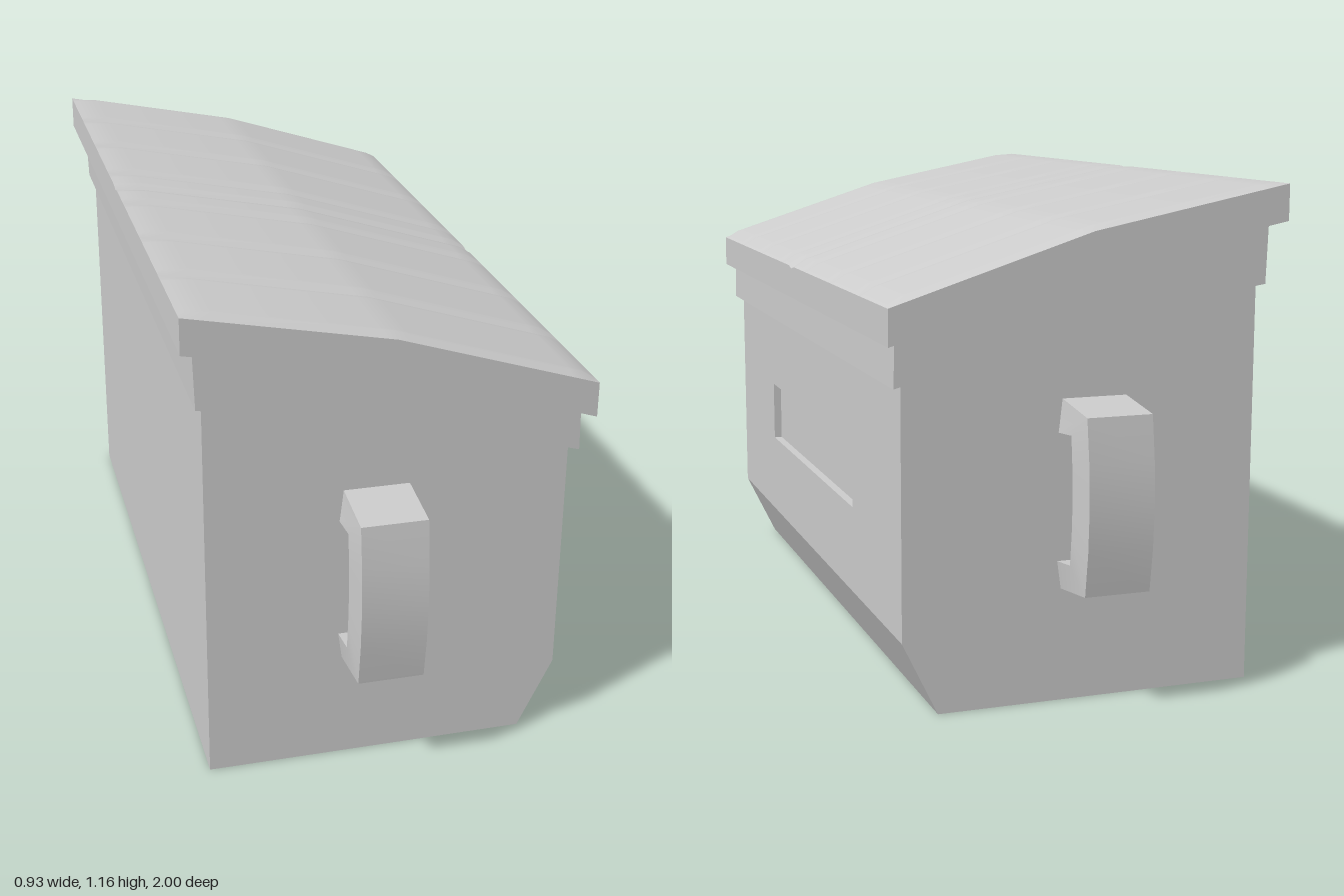
import * as THREE from 'three';
import { toCreasedNormals } from 'three/addons/utils/BufferGeometryUtils.js';

const material = new THREE.MeshStandardMaterial({ color: 0xcccccc });
const sheetMaterial = new THREE.MeshStandardMaterial({ color: 0xcccccc, side: THREE.DoubleSide });
const bodyHalf = 0.84;
const lidHalf = 0.892;

function makeMesh(name, geometry, mat = material) {
  const mesh = new THREE.Mesh(geometry, mat);
  mesh.name = name;
  return mesh;
}

function makeShape(points) {
  return new THREE.Shape(points.map(([x, y]) => new THREE.Vector2(x, y)));
}

// Side profile in x/y, extruded evenly to both sides of z = 0
function prism(points, halfLength) {
  const geometry = new THREE.ExtrudeGeometry(makeShape(points), { depth: halfLength * 2, bevelEnabled: false });
  return geometry.translate(0, 0, -halfLength);
}

// Thin-walled body, open underneath
function createBody() {
  const body = new THREE.Group();
  body.name = 'body';
  const add = (name, geometry) => body.add(makeMesh(name, geometry, sheetMaterial));

  // End walls
  const end = makeShape([[-0.415, 0], [0.34, 0], [0.422, 0.17], [0.422, 0.76], [0, 0.875], [-0.415, 0.935]]);
  add('frontWall', new THREE.ShapeGeometry(end).translate(0, 0, bodyHalf));
  add('backWall', new THREE.ShapeGeometry(end).translate(0, 0, -bodyHalf));

  // Tall plain wall and the sloping lower panel
  add('tallWall', new THREE.PlaneGeometry(bodyHalf * 2, 0.935).rotateY(-Math.PI / 2).translate(-0.415, 0.4675, 0));
  const lower = new THREE.PlaneGeometry(bodyHalf * 2, Math.hypot(0.082, 0.17)).rotateY(Math.PI / 2);
  add('slopedPanel', lower.rotateZ(-Math.atan2(0.082, 0.17)).translate(0.381, 0.085, 0));

  // Short wall with its slot
  const wall = makeShape([[-bodyHalf, 0.17], [bodyHalf, 0.17], [bodyHalf, 0.76], [-bodyHalf, 0.76]]);
  wall.holes.push(makeShape([[-0.43, 0.38], [-0.43, 0.535], [0.43, 0.535], [0.43, 0.38]]));
  add('slottedWall', new THREE.ShapeGeometry(wall).rotateY(Math.PI / 2).translate(0.422, 0, 0));

  // Shallow tray behind the slot: a box without its outer face
  const tray = new THREE.BoxGeometry(0.02, 0.155, 0.86).translate(0.412, 0.4575, 0);
  tray.setIndex(Array.from(tray.index.array).slice(6));
  tray.clearGroups();
  add('slotRecess', tray);
  return body;
}

// Bent sloping roof line of the lid
function roofY(x) {
  return x < 0 ? 1.063 - x * 0.2 : 1.063 - x * 0.32;
}

// Lid skin: raised panels parted by shallow valleys, with a short skirt round the rim
function lidSkin() {
  const valleys = [-0.64, -0.385, -0.125, 0, 0.125, 0.385, 0.637];
  const xs = [-0.465, -0.465, -0.445, -0.4, -0.03, 0, 0.03, 0.4, 0.43, 0.463, 0.463];
  const zs = [-lidHalf, -lidHalf, -lidHalf + 0.025, -lidHalf + 0.035];
  for (const v of valleys) zs.push(v - 0.037, v - 0.027, v, v + 0.027, v + 0.037);
  zs.push(lidHalf - 0.035, lidHalf - 0.025, lidHalf, lidHalf);

  const positions = [];
  const indices = [];
  zs.forEach((z, j) => xs.forEach((x, i) => {
    const skirt = i === 0 || j === 0 || i === xs.length - 1 || j === zs.length - 1;
    const edge = i === 1 || j === 1 || i === xs.length - 2 || j === zs.length - 2;
    let lift = edge || valleys.includes(z) ? 0 : 0.01;
    if (i === 2) lift *= 0.4;
    if (z === 0) lift = -0.006;
    if (skirt) lift = -0.03;
    positions.push(x, roofY(x) + lift, z);
  }));
  const n = xs.length;
  for (let j = 0; j < zs.length - 1; j++) {
    for (let i = 0; i < n - 1; i++) {
      const a = j * n + i;
      indices.push(a, a + n, a + 1, a + 1, a + n, a + n + 1);
    }
  }
  const geometry = new THREE.BufferGeometry();
  geometry.setAttribute('position', new THREE.Float32BufferAttribute(positions, 3));
  geometry.setIndex(indices);
  return toCreasedNormals(geometry, 0.65);
}

// Bracket handle: four-cornered sections, a little wider along the inner side
function handleGeometry() {
  // Each section: outer z, outer y, inner z, inner y
  const sections = [
    [0.818, 0.258, 0.818, 0.322], [0.981, 0.28, 0.915, 0.335], [0.995, 0.38, 0.923, 0.41], [1.0, 0.478, 0.926, 0.478],
    [0.995, 0.575, 0.923, 0.55], [0.981, 0.675, 0.915, 0.625], [0.818, 0.696, 0.818, 0.615],
  ];
  const positions = [];
  const indices = [];
  sections.forEach(([oz, oy, iz, iy], s) => {
    positions.push(-0.076, oy, oz, 0.076, oy, oz, 0.085, iy, iz, -0.085, iy, iz);
    if (s === 0) return;
    for (let k = 0; k < 4; k++) {
      const a = (s - 1) * 4 + k;
      const b = (s - 1) * 4 + (k + 1) % 4;
      indices.push(a, b, a + 4, b, b + 4, a + 4);
    }
  });
  // Feet
  const e = (sections.length - 1) * 4;
  indices.push(0, 2, 1, 0, 3, 2, e, e + 1, e + 2, e, e + 2, e + 3);
  const geometry = new THREE.BufferGeometry();
  geometry.setAttribute('position', new THREE.Float32BufferAttribute(positions, 3));
  geometry.setIndex(indices);
  return toCreasedNormals(geometry, 0.3);
}

export function createModel() {
  const model = new THREE.Group();
  model.name = 'storageBin';
  model.add(createBody());

  // Stepped rim under the lid
  model.add(makeMesh('rim', prism([
    [-0.43, 0.93], [0, 0.865], [0.442, 0.738], [0.439, 0.86], [0, 0.995], [-0.435, 1.08],
  ], 0.857)));

  // Lid slab and its panelled top
  const lid = new THREE.Group();
  lid.name = 'lid';
  lid.add(
    makeMesh('lidSlab', prism([
      [-0.465, 1.073], [0, 0.98], [0.463, 0.833], [0.463, roofY(0.463) - 0.02],
      [0, roofY(0) - 0.02], [-0.465, roofY(-0.465) - 0.02],
    ], lidHalf)),
    makeMesh('lidPanels', lidSkin()),
  );
  model.add(lid);

  // A handle on each end
  const geometry = handleGeometry();
  for (const [name, turn] of [['frontHandle', 0], ['backHandle', Math.PI]]) {
    const handle = makeMesh(name, geometry);
    handle.position.x = -0.025;
    handle.rotation.y = turn;
    model.add(handle);
  }
  return model;
}
